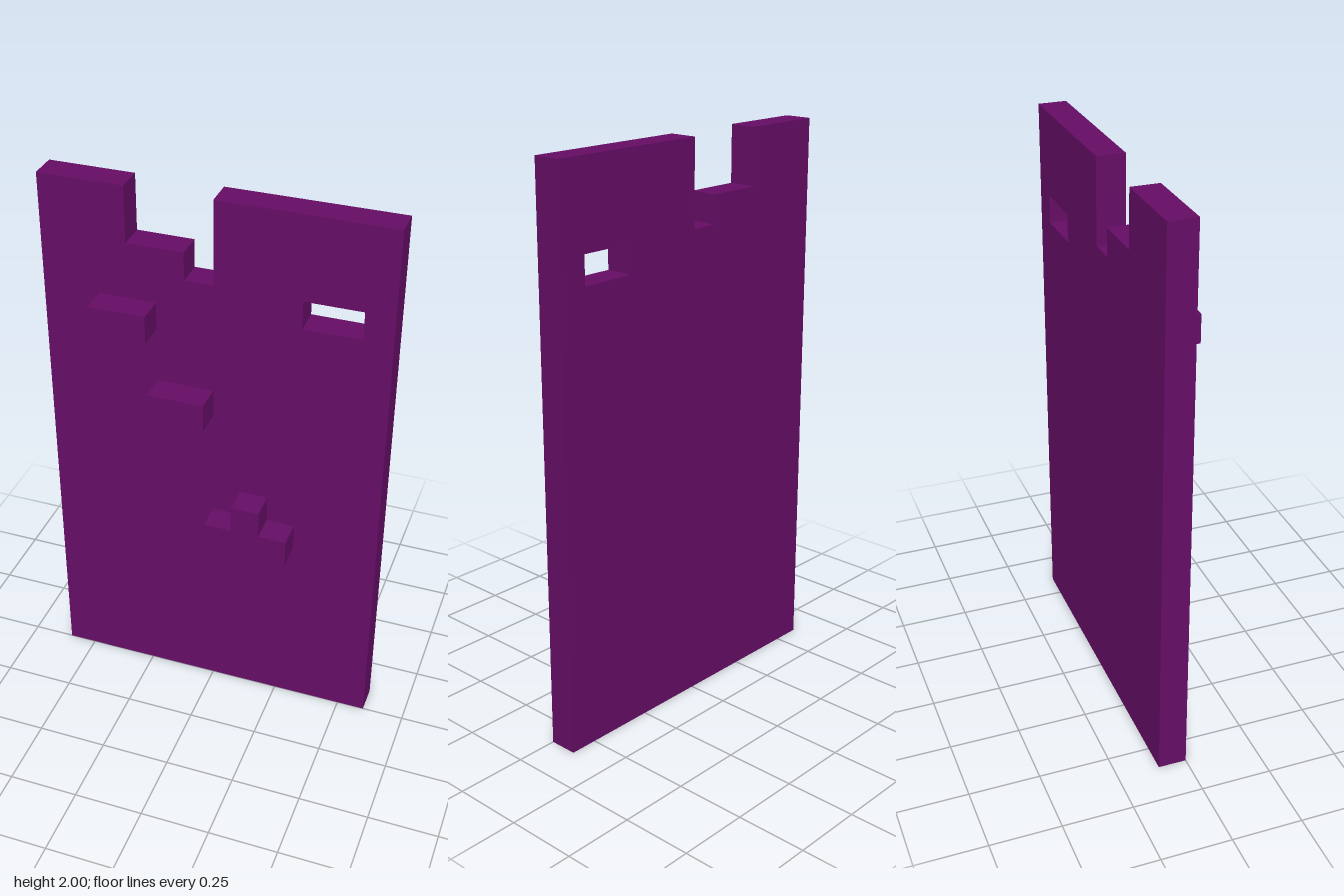
import * as THREE from 'three';

const purple = new THREE.MeshStandardMaterial({ color: 0x650d65 });
purple.name = 'purple';

const toPoints = (pairs) => pairs.map(([x, y]) => new THREE.Vector2(x, y));

// Extrudes an outline 0.1 deep, with its back at z
function slab(name, outline, z, holes = []) {
  const shape = new THREE.Shape(toPoints(outline));
  for (const hole of holes) shape.holes.push(new THREE.Path(toPoints(hole)));
  const geometry = new THREE.ExtrudeGeometry(shape, { depth: 0.1, bevelEnabled: false });
  const mesh = new THREE.Mesh(geometry, purple);
  mesh.name = name;
  mesh.position.z = z;
  return mesh;
}

const rect = (x0, y0, x1, y1) => [[x0, y0], [x1, y0], [x1, y1], [x0, y1]];

export function createModel() {
  const model = new THREE.Group();
  model.name = 'climbingWall';

  // Wall with a stepped notch in its top edge and a small window
  const wallOutline = [
    [-0.6, 0], [0.6, 0], [0.6, 2], [0, 2], [0, 1.7],
    [-0.1, 1.7], [-0.1, 1.8], [-0.3, 1.8], [-0.3, 2], [-0.6, 2],
  ];
  model.add(slab('wall', wallOutline, -0.1, [rect(0.3, 1.6, 0.5, 1.7)]));

  // Blocks standing out from the front
  model.add(slab('upperBlock', rect(-0.4, 1.5, -0.2, 1.6), 0));
  model.add(slab('middleBlock', rect(-0.2, 1.2, 0, 1.3), 0));

  // Stepped block: a wide base with a stub on top
  const steppedOutline = [
    [0, 0.7], [0.3, 0.7], [0.3, 0.8], [0.2, 0.8],
    [0.2, 0.9], [0.1, 0.9], [0.1, 0.8], [0, 0.8],
  ];
  model.add(slab('steppedBlock', steppedOutline, 0));

  return model;
}
